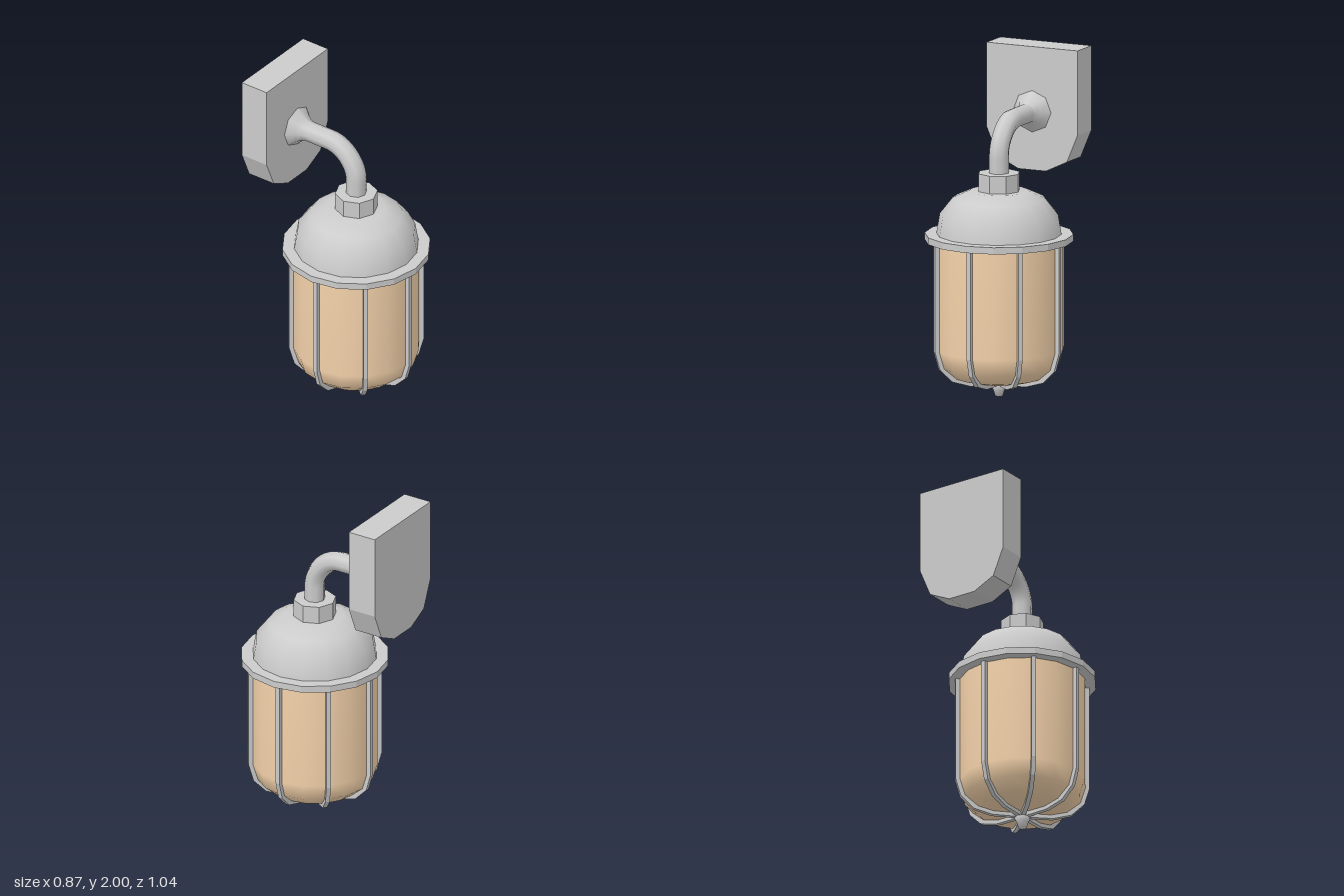
import * as THREE from 'three';

const AXIS_Z = 0.085; // vertical axis of the lamp body

export function createModel() {
  const model = new THREE.Group();
  const metal = new THREE.MeshStandardMaterial({ color: 0xcccccc });
  const metalFlat = new THREE.MeshStandardMaterial({ color: 0xcccccc, flatShading: true });
  const glass = new THREE.MeshStandardMaterial({ color: 0xf5d3ab });

  const add = (parent, name, geometry, material) => {
    const mesh = new THREE.Mesh(geometry, material);
    mesh.name = name;
    parent.add(mesh);
    return mesh;
  };
  const lathe = (points, sides) =>
    new THREE.LatheGeometry(points.map(([r, y]) => new THREE.Vector2(r, y)), sides);
  const polygon = (points) => new THREE.Shape(points.map(([x, y]) => new THREE.Vector2(x, y)));
  const disc = (radius, y0, y1, sides) =>
    new THREE.CylinderGeometry(radius, radius, y1 - y0, sides).translate(0, (y0 + y1) / 2, 0);

  // Wall plate with a rounded lower end
  const plate = polygon([
    [-0.295, 2], [-0.295, 1.5], [-0.225, 1.335], [-0.09, 1.27],
    [0.09, 1.27], [0.225, 1.335], [0.295, 1.5], [0.295, 2],
  ]);
  add(model, 'wallPlate', new THREE.ExtrudeGeometry(plate, { depth: 0.18, bevelEnabled: false })
    .translate(0, 0, -0.525), metalFlat);

  // Bent arm: out from the wall, then down to the lamp
  const v = (y, z) => new THREE.Vector3(0, y, z);
  const path = new THREE.CurvePath();
  const bend = 0.19, armY = 1.617, k = 0.448 * bend;
  path.add(new THREE.LineCurve3(v(armY, -0.345), v(armY, AXIS_Z - bend)));
  path.add(new THREE.CubicBezierCurve3(
    v(armY, AXIS_Z - bend), v(armY, AXIS_Z - k), v(armY - bend + k, AXIS_Z), v(armY - bend, AXIS_Z)));
  path.add(new THREE.LineCurve3(v(armY - bend, AXIS_Z), v(1.3, AXIS_Z)));
  add(model, 'arm', new THREE.TubeGeometry(path, 24, 0.06, 8), metal);

  // Flared foot of the arm
  add(model, 'armFlare', lathe([[0.123, -0.345], [0.085, -0.305], [0.065, -0.275], [0.059, -0.25]], 8)
    .rotateX(Math.PI / 2).translate(0, armY, 0), metal);

  const lamp = new THREE.Group();
  lamp.name = 'lamp';
  lamp.position.z = AXIS_Z;
  model.add(lamp);

  // Cap of the lamp
  add(lamp, 'collar', disc(0.125, 1.2, 1.33, 8), metalFlat);
  add(lamp, 'dome', lathe([[0.365, 0.965], [0.345, 1.085], [0.27, 1.18], [0.17, 1.225], [0, 1.225]], 16), metal);
  add(lamp, 'rim', disc(0.433, 0.93, 0.97, 16), metalFlat);

  // Glass bowl
  add(lamp, 'glassBowl', lathe([
    [0, 0.1], [0.17, 0.1], [0.265, 0.125], [0.342, 0.19], [0.372, 0.29], [0.372, 0.94],
  ], 16), glass);

  // Cage of eight ribs meeting under the bowl
  const rib = polygon([
    [0, 0.075], [0.18, 0.078], [0.29, 0.11], [0.365, 0.185], [0.395, 0.29], [0.395, 0.94],
    [0.36, 0.94], [0.36, 0.295], [0.333, 0.2], [0.265, 0.14], [0.17, 0.115], [0, 0.115],
  ]);
  const ribGeometry = new THREE.ExtrudeGeometry(rib, { depth: 0.026, bevelEnabled: false })
    .translate(0, 0, -0.013);
  const cage = new THREE.Group();
  cage.name = 'cage';
  lamp.add(cage);
  for (let i = 0; i < 8; i++) {
    add(cage, 'rib', ribGeometry, metalFlat).rotation.y = (i * Math.PI) / 4;
  }

  // Pointed finial
  add(lamp, 'finial', lathe([[0, 0], [0.024, 0.01], [0.035, 0.045], [0.047, 0.07], [0.03, 0.1], [0, 0.105]], 8), metal);

  return model;
}
